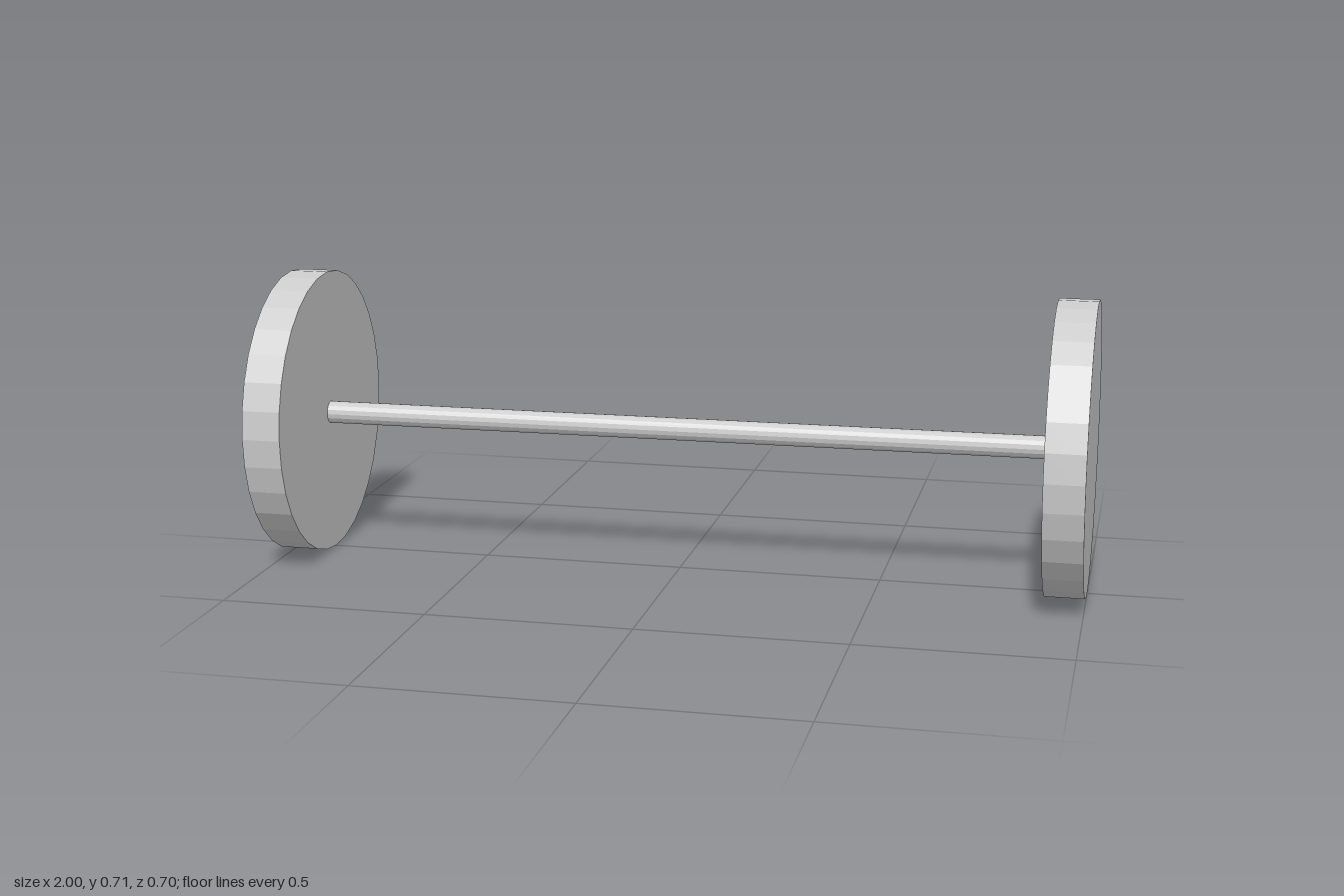
import * as THREE from 'three';

export function createModel() {
  const group = new THREE.Group();
  const material = new THREE.MeshStandardMaterial({ color: 0xcccccc, flatShading: true });

  // Solid disc wheels, very slightly taller than deep
  const wheelGeometry = new THREE.CylinderGeometry(0.355, 0.355, 0.095, 32);
  wheelGeometry.rotateZ(Math.PI / 2);
  wheelGeometry.scale(1, 1, 0.986);
  for (const [name, x, y] of [['leftWheel', 0.9525, 0.356], ['rightWheel', -0.9525, 0.358]]) {
    const wheel = new THREE.Mesh(wheelGeometry, material);
    wheel.name = name;
    wheel.position.set(x, y, 0);
    group.add(wheel);
  }

  // Thin axle between the wheels, slightly out of square
  const axleGeometry = new THREE.CylinderGeometry(0.028, 0.028, 1.815, 16);
  axleGeometry.rotateZ(Math.PI / 2);
  const axle = new THREE.Mesh(axleGeometry, material);
  axle.name = 'axle';
  axle.position.set(0, 0.355, 0.001);
  axle.rotation.y = 0.005;
  group.add(axle);

  return group;
}
